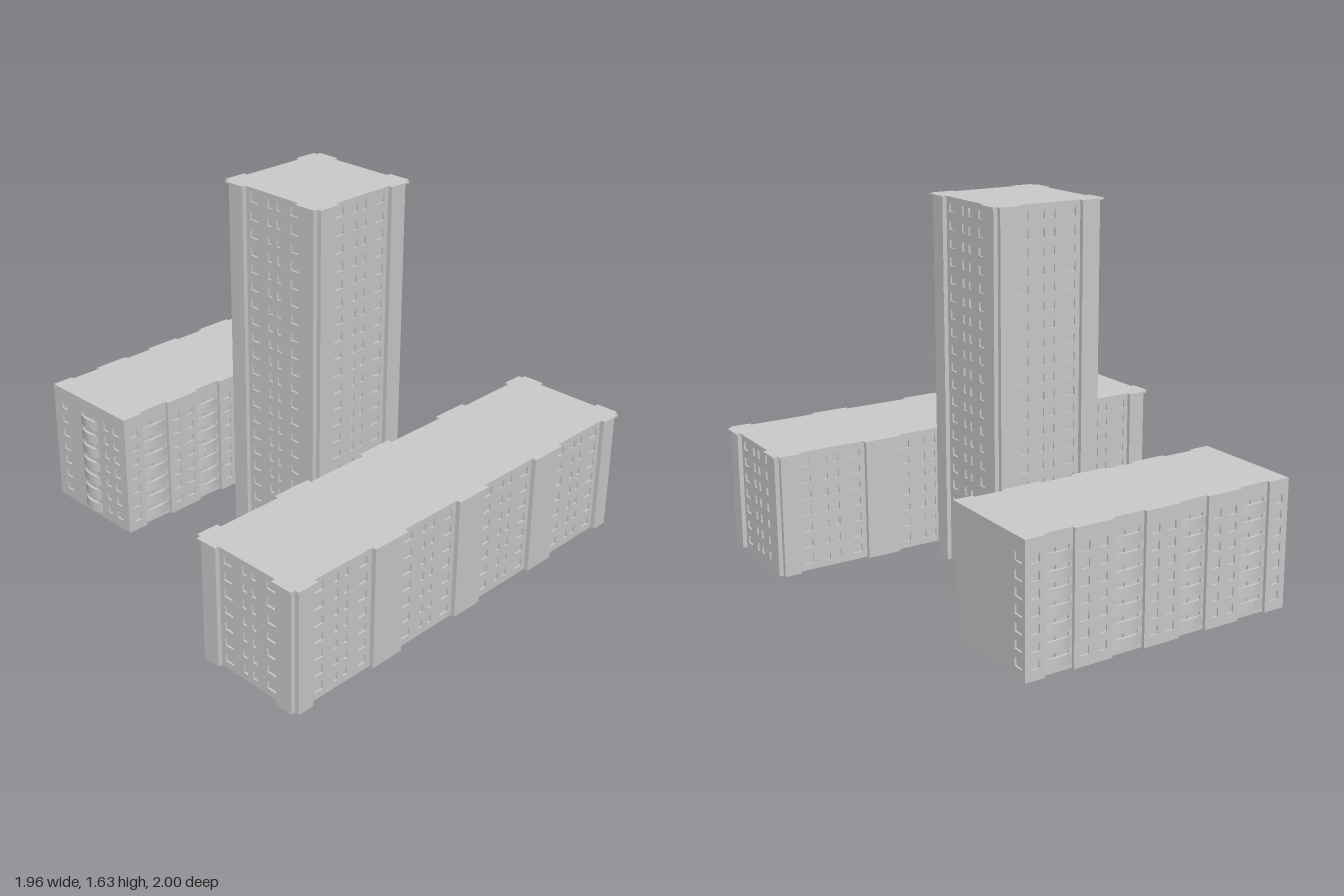
import * as THREE from 'three';
import { mergeGeometries } from 'three/addons/utils/BufferGeometryUtils.js';

const material = new THREE.MeshStandardMaterial({ color: 0xcccccc, side: THREE.DoubleSide, flatShading: true });

// Plan: a rectangle with shallow pilasters, walked front, right, back, left.
// g grows the plan outwards, for overhanging roofs.
function outline({ x: [x0, x1], z: [z0, z1], d, xs, zs }, g = 0) {
  const grow = (list) => list.map(([a, b]) => [a - g, b + g]);
  const px = grow(xs), pz = grow(zs), pts = [];
  x0 -= g; x1 += g; z0 -= g; z1 += g;
  const add = (...list) => list.forEach((p) => {
    const q = pts[pts.length - 1];
    if (!q || Math.hypot(p[0] - q[0], p[1] - q[1]) > 1e-4) pts.push(p);
  });
  add([x0, z1]);
  px.forEach(([a, b]) => add([a, z1], [a, z1 + d], [b, z1 + d], [b, z1]));
  add([x1, z1]);
  [...pz].reverse().forEach(([a, b]) => add([x1, b], [x1 + d, b], [x1 + d, a], [x1, a]));
  add([x1, z0]);
  [...px].reverse().forEach(([a, b]) => add([b, z0], [b, z0 - d], [a, z0 - d], [a, z0]));
  add([x0, z0]);
  pz.forEach(([a, b]) => add([x0, a], [x0 - d, a], [x0 - d, b], [x0, b]));
  const [f, l] = [pts[0], pts[pts.length - 1]];
  if (Math.hypot(f[0] - l[0], f[1] - l[1]) < 1e-4) pts.pop();
  return pts;
}

// Place a geometry made in wall space (x along, z outwards) on the wall p -> q
function place(geo, p, q) {
  return geo.rotateY(Math.atan2(p[1] - q[1], q[0] - p[0])).translate(p[0], 0, p[1]);
}

// One wall sheet with a recessed pocket for every window
function wall(p, q, h, columns, floors) {
  const len = Math.hypot(q[0] - p[0], q[1] - p[1]);
  const shape = new THREE.Shape([[0, 0], [len, 0], [len, h], [0, h]].map((c) => new THREE.Vector2(...c)));
  const parts = [], depth = 0.008;
  for (const [u, w] of columns) {
    for (let i = 0; i < floors.count; i++) {
      const y = floors.first + i * floors.pitch, t = floors.height;
      const hole = [[u - w / 2, y], [u - w / 2, y + t], [u + w / 2, y + t], [u + w / 2, y]];
      shape.holes.push(new THREE.Path(hole.map((c) => new THREE.Vector2(...c))));
      const pocket = new THREE.BoxGeometry(w, t, depth).translate(u, y + t / 2, -depth / 2);
      // drop the outward face so the pocket is open
      pocket.setIndex(Array.from(pocket.index.array).filter((_, k) => k < 24 || k >= 30));
      parts.push(pocket);
    }
  }
  parts.push(new THREE.ShapeGeometry(shape));
  return place(mergeGeometries(parts), p, q);
}

function mesh(name, geo) {
  const m = new THREE.Mesh(geo, material);
  m.name = name;
  return m;
}

function building(name, plan, height, overhang, slab, floors, columnsFor) {
  const group = new THREE.Group();
  group.name = name;
  const pts = outline(plan);
  group.add(mesh('walls', mergeGeometries(pts.map((p, i) => {
    const q = pts[(i + 1) % pts.length];
    const len = Math.hypot(q[0] - p[0], q[1] - p[1]);
    return wall(p, q, height - slab, columnsFor(len, p, q), floors);
  }))));
  const roof = new THREE.Shape(outline(plan, overhang).map(([x, z]) => new THREE.Vector2(x, -z)));
  group.add(mesh('roof', new THREE.ExtrudeGeometry(roof, { depth: slab, bevelEnabled: false })
    .rotateX(-Math.PI / 2).translate(0, height - slab, 0)));
  return group;
}

// Two wide windows flanking a pair of narrow ones
const panelColumns = (len) => (len < 0.25 ? [] :
  [[0.14, 0.045], [0.42, 0.022], [0.58, 0.022], [0.86, 0.045]].map(([f, w]) => [f * len, w]));

// Balcony parapet with a bowed front
function balcony(p, q, y, bulge) {
  const len = Math.hypot(q[0] - p[0], q[1] - p[1]), pts = [];
  for (let i = 0; i <= 8; i++) pts.push(new THREE.Vector2(len * i / 8, -bulge * Math.sin(Math.PI * i / 8)));
  const geo = new THREE.ExtrudeGeometry(new THREE.Shape(pts), { depth: 0.045, bevelEnabled: false });
  return place(geo.rotateX(-Math.PI / 2).translate(0, y, 0), p, q);
}

export function createModel() {
  const model = new THREE.Group();

  // Tall square tower
  model.add(building('tower', {
    x: [-0.17, 0.315], z: [-0.253, 0.23], d: 0.02,
    xs: [[-0.17, -0.09], [0.235, 0.315]], zs: [[-0.253, -0.173], [0.15, 0.23]],
  }, 1.632, 0.011, 0.007, { count: 21, first: 0.035, pitch: 0.0765, height: 0.036 }, panelColumns));

  // Long low block
  model.add(building('longBlock', {
    x: [0.46, 0.945], z: [-0.967, 0.967], d: 0.02,
    xs: [[0.46, 0.54], [0.865, 0.945]],
    zs: [[-0.967, -0.89], [-0.56, -0.405], [-0.075, 0.08], [0.405, 0.565], [0.89, 0.967]],
  }, 0.549, 0.011, 0.007, { count: 7, first: 0.03, pitch: 0.0745, height: 0.036 }, panelColumns));

  // Block with balconies set in recessed bays
  const bays = [[-0.56, -0.43], [-0.25, -0.1], [0.07, 0.205], [0.375, 0.52]];
  const west = -0.965, east = -0.485, front = 0.62;
  const block = building('balconyBlock', {
    x: [west, east], z: [-0.65, front], d: 0.015, xs: [],
    zs: [[-0.65, -0.56], [-0.43, -0.25], [-0.1, 0.07], [0.205, 0.375], [0.52, front]],
  }, 0.565, 0, 0.005, { count: 7, first: 0.045, pitch: 0.07, height: 0.036 }, (len, p, q) => {
    if (len > 0.4) {
      return q[0] > p[0]
        ? [[0.06, 0.04], [0.205, 0.025], [0.275, 0.025], [0.36, 0.03], [0.43, 0.04]]
        : [[len - 0.03, 0.05]];
    }
    if (len > 0.11) return [[len * 0.27, 0.04], [len * 0.73, 0.04]];
    return len > 0.05 ? [[len / 2, 0.04]] : [];
  });
  const balconies = [];
  for (let i = 0; i < 7; i++) {
    const y = 0.02 + i * 0.07;
    for (const [a, b] of bays) {
      balconies.push(balcony([west, a], [west, b], y, 0.012), balcony([east, b], [east, a], y, 0.012));
    }
    balconies.push(balcony([-0.785, front], [-0.665, front], y, 0.014));
  }
  block.add(mesh('balconies', mergeGeometries(balconies)));
  model.add(block);

  return model;
}
